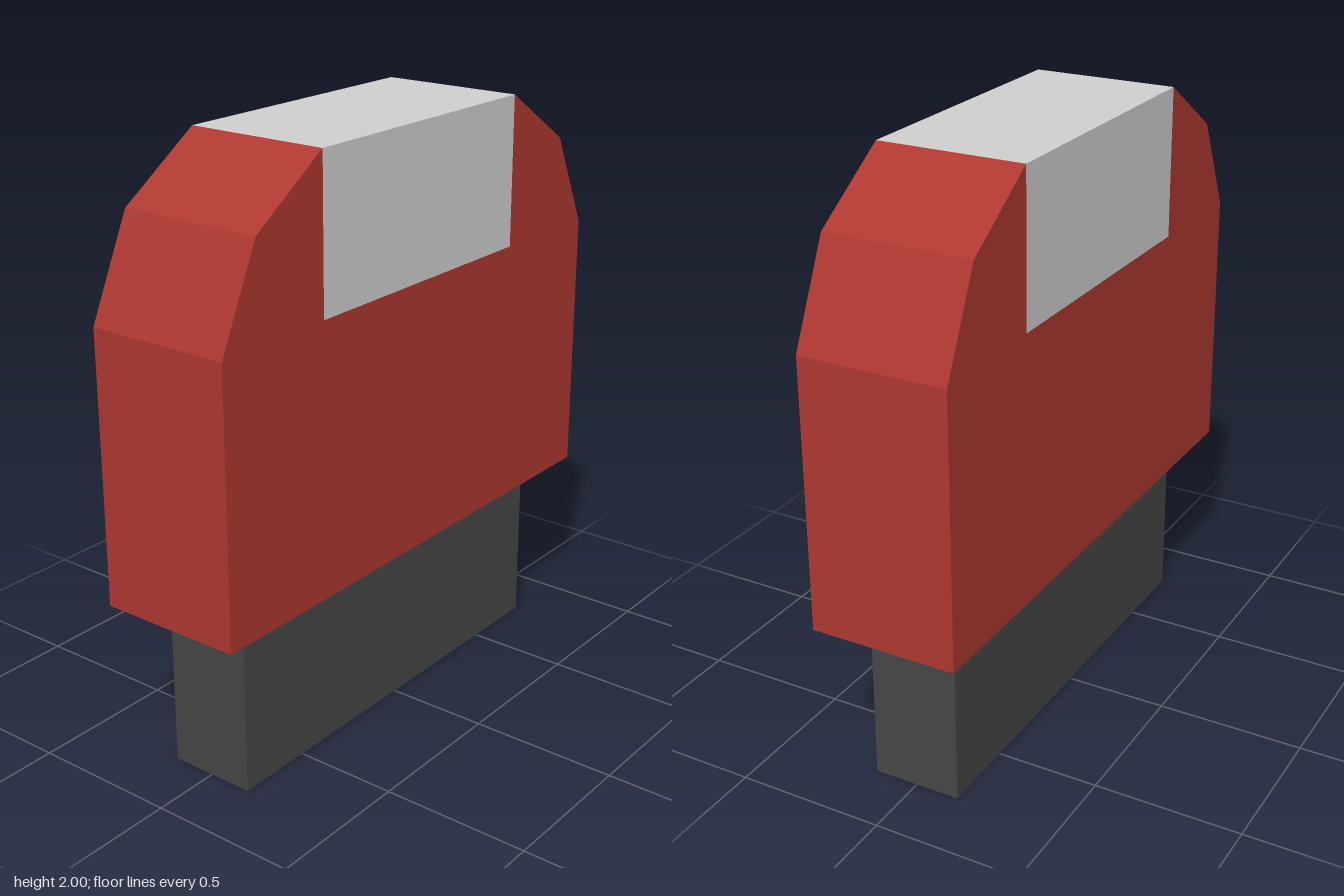
import * as THREE from 'three';

const WIDTH = 0.495;

// Extrudes a z/y outline across the model's width, centred on x = 0
function slab(points, material, name) {
  const shape = new THREE.Shape(points.map(([z, y]) => new THREE.Vector2(z, y)));
  const geometry = new THREE.ExtrudeGeometry(shape, { depth: WIDTH, bevelEnabled: false });
  geometry.translate(0, 0, -WIDTH / 2).rotateY(-Math.PI / 2);
  const mesh = new THREE.Mesh(geometry, material);
  mesh.name = name;
  return mesh;
}

// Completes a half outline with its mirror image in z
const mirrored = (half) => [...half, ...half.map(([z, y]) => [-z, y]).reverse()];

export function createModel() {
  const material = (name, color) => new THREE.MeshStandardMaterial({ name, color });
  const red = material('red', 0xae3831);
  const grey = material('light grey', 0xd0d0d0);
  const dark = material('dark grey', 0x464646);

  const model = new THREE.Group();
  model.name = 'model';

  // Narrow foot under the body
  const foot = new THREE.Mesh(new THREE.BoxGeometry(0.3, 0.59, 1.535), dark);
  foot.name = 'foot';
  foot.position.y = 0.295;
  model.add(foot);

  // Body with chamfered shoulders and a notch in the top
  const body = mirrored([[0.93, 0.59], [0.93, 1.49], [0.78, 1.81], [0.49, 2], [0.49, 1.495]]);
  model.add(slab(body, red, 'body'));

  // Block filling the notch
  model.add(slab(mirrored([[0.49, 1.495], [0.49, 2]]), grey, 'topInsert'));

  return model;
}
